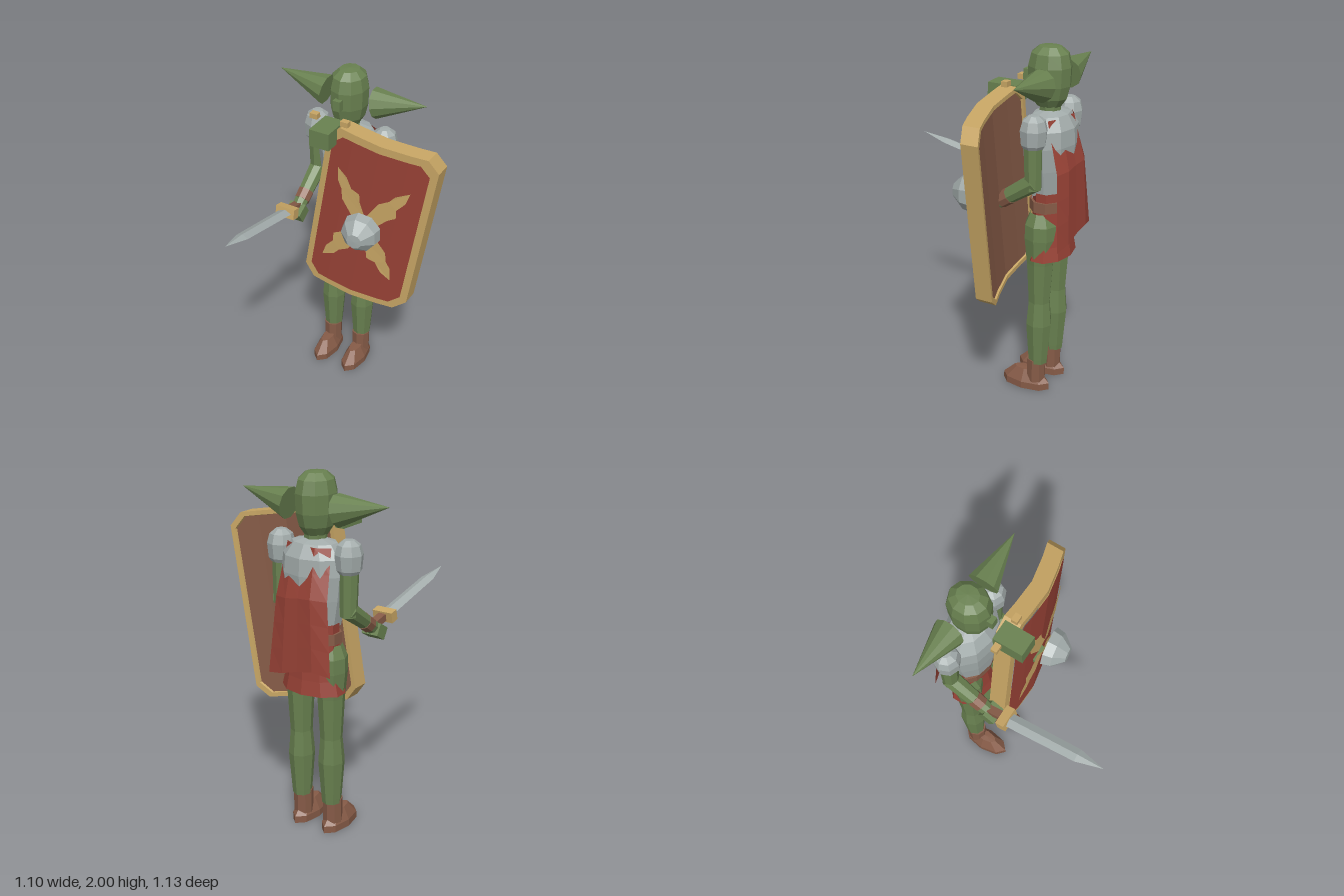
import * as THREE from 'three';

const mat = (name, color, side = THREE.FrontSide) => {
  const m = new THREE.MeshStandardMaterial({ color, side });
  m.name = name;
  return m;
};

export function createModel() {
  const green = mat('green skin', 0x698150);
  const silver = mat('silver', 0xa3acab);
  const red = mat('red cloth', 0x984236, THREE.DoubleSide);
  const gold = mat('gold', 0xc7a564, THREE.DoubleSide);
  const brown = mat('brown leather', 0x865b47);

  const root = new THREE.Group();
  root.name = 'goblinWarrior';
  const CX = -0.09; // body centre line

  // Adds a faceted mesh
  function add(name, geo, material, parent = root) {
    const g = geo.index ? geo.toNonIndexed() : geo;
    g.computeVertexNormals();
    const m = new THREE.Mesh(g, material);
    m.name = name;
    parent.add(m);
    return m;
  }
  // Turned part; profile is [radius, y] from bottom to top
  function turned(name, profile, sides, material, x, y, z, sx = 1, sz = 1, parent = root) {
    const geo = new THREE.LatheGeometry(profile.map(p => new THREE.Vector2(p[0], p[1])), sides);
    geo.scale(sx, 1, sz);
    const m = add(name, geo, material, parent);
    m.position.set(x, y, z);
    return m;
  }
  function box(name, w, h, d, material, x, y, z, parent = root) {
    const m = add(name, new THREE.BoxGeometry(w, h, d), material, parent);
    m.position.set(x, y, z);
    return m;
  }
  // Tapered tube from a to b
  function limb(name, a, b, ra, rb, material, sides = 8) {
    const A = new THREE.Vector3(...a), B = new THREE.Vector3(...b);
    const dir = B.clone().sub(A);
    const m = add(name, new THREE.CylinderGeometry(rb, ra, dir.length(), sides), material);
    m.position.copy(A).add(B).multiplyScalar(0.5);
    m.quaternion.setFromUnitVectors(new THREE.Vector3(0, 1, 0), dir.normalize());
    return m;
  }

  // Head and face
  turned('head', [[0, 1.67], [0.06, 1.675], [0.088, 1.72], [0.104, 1.79], [0.107, 1.89], [0.092, 1.96], [0.055, 1.995], [0, 2]],
    10, green, CX, 0, -0.372, 1, 1.14);
  limb('neck', [CX, 1.6, -0.38], [CX, 1.72, -0.38], 0.06, 0.06, green);
  box('nose', 0.045, 0.06, 0.05, green, CX, 1.83, -0.25);
  box('snout', 0.12, 0.1, 0.175, green, CX + 0.005, 1.72, -0.12);

  // Torso, belt and tunic
  turned('breastplate', [[0, 1.2], [0.148, 1.2], [0.178, 1.35], [0.194, 1.48], [0.185, 1.57], [0.13, 1.64], [0.05, 1.66]],
    10, silver, CX, 0, -0.39, 1, 0.73);
  turned('tunic', [[0.187, 0.83], [0.168, 0.91], [0.153, 1.03], [0.15, 1.12], [0.153, 1.22]], 10, red, CX, 0, -0.41, 1.02, 0.63);
  turned('belt', [[0.15, 1.11], [0.165, 1.11], [0.165, 1.17], [0.15, 1.17]], 10, brown, CX, 0, -0.405, 1, 0.67);

  // Paired parts
  for (const s of [-1, 1]) {
    const side = s < 0 ? 'right' : 'left';
    const at = d => CX + s * d;

    limb(side + 'Ear', [at(0.155), 1.817, -0.395], [at(0.458), 1.872, -0.4], 0.088, 0, green, 10);
    box(side + 'Eye', 0.046, 0.03, 0.036, gold, at(0.094), 1.785, -0.16);

    // Arms
    const ax = at(0.215);
    turned(side + 'Pauldron', [[0.055, 1.5], [0.068, 1.52], [0.076, 1.6], [0.062, 1.65], [0.03, 1.675], [0, 1.677]],
      8, silver, ax, 0, -0.392);
    limb(side + 'UpperArm', [ax, 1.54, -0.39], [ax, 1.27, -0.395], 0.052, 0.046, green);
    limb(side + 'Forearm', [ax, 1.31, -0.405], [ax, 1.15, -0.17], 0.052, 0.04, green);
    limb(side + 'Bracer', [ax, 1.207, -0.255], [ax, 1.172, -0.205], 0.047, 0.045, brown);
    box(side + 'Hand', 0.1, 0.07, 0.08, green, ax, 1.125, -0.148).rotation.x = 0.55;

    // Legs and boots
    const lx = at(0.1);
    turned(side + 'Leg', [[0.052, 0.17], [0.055, 0.2], [0.072, 0.42], [0.06, 0.56], [0.074, 0.8], [0.09, 0.95], [0.088, 1.03], [0.06, 1.1]],
      8, green, lx, 0, -0.39, 1, 1.05);
    turned(side + 'BootCuff', [[0.054, 0.05], [0.056, 0.19], [0.04, 0.19]], 8, brown, lx, 0, -0.38);
    turned(side + 'Boot', [[0, 0], [1, 0], [1, 0.04], [0.5, 0.11], [0, 0.112]],
      8, brown, lx, 0, -0.317, 0.065, 0.147);
  }

  // Cape: a folded sheet that bows out from the shoulders to a ragged hem
  const cape = new THREE.PlaneGeometry(4, 1, 4, 5);
  const cp = cape.attributes.position;
  const hem = [0.66, 0.64, 0.66, 0.69, 0.71], fold = [0.035, -0.012, 0, 0.002, 0.04];
  for (let i = 0; i < cp.count; i++) {
    const col = Math.round(cp.getX(i)) + 2, t = 0.5 - cp.getY(i);
    cp.setXYZ(i, CX + (col - 2) * 0.5 * (0.14 + 0.06 * t), 1.63 - t * hem[col],
      -0.475 - 0.055 * Math.min(1, t * 2.5) - 0.03 * t + fold[col] * (1 - 0.5 * t));
  }
  add('cape', cape, red);

  // Sword, built along +y then tipped forward
  const sword = new THREE.Group();
  sword.name = 'sword';
  sword.position.set(-0.305, 1.185, -0.045);
  sword.rotation.x = 1.36;
  root.add(sword);
  turned('blade', [[0.042, 0.01], [0.038, 0.46], [0, 0.622]], 4, silver, 0, 0, 0, 1, 0.42, sword);
  box('crossguard', 0.12, 0.052, 0.06, gold, 0, 0, 0, sword);
  box('grip', 0.045, 0.14, 0.04, brown, 0, -0.08, 0, sword);

  // Shield: flat on one half, curving back on the other
  const shield = new THREE.Group();
  shield.name = 'shield';
  shield.position.set(0.156, 1.204, 0);
  shield.rotation.z = -0.163;
  root.add(shield);

  const bendZ = [-0.178, -0.17, -0.17, -0.205, -0.252];
  const bend = u => {
    const f = Math.min(3.999, Math.max(0, u / 0.16 + 2)), i = Math.floor(f);
    return bendZ[i] + (bendZ[i + 1] - bendZ[i]) * (f - i);
  };
  // Columns [u, half height] of a rectangle with cut corners
  const columns = (w, h, c) =>
    [-w, -w + c, -0.16, 0, 0.16, w - c, w].map(u => [u, Math.abs(u) > w - 0.001 ? h - c : h]);
  const pt = (u, v, z) => [u, v, bend(u) + z];
  const fromQuads = quads => {
    const g = new THREE.BufferGeometry();
    const pos = quads.flatMap(([a, b, c, d]) => [...a, ...b, ...c, ...a, ...c, ...d]);
    g.setAttribute('position', new THREE.Float32BufferAttribute(pos, 3));
    return g;
  };
  function panel(name, cols, z, material, back) {
    const quads = [];
    for (let i = 0; i < cols.length - 1; i++) {
      const [u, h] = cols[i], [U, H] = cols[i + 1];
      const q = [pt(u, -h, z), pt(U, -H, z), pt(U, H, z), pt(u, h, z)];
      quads.push(back ? q.reverse() : q);
    }
    add(name, fromQuads(quads), material, shield);
  }
  const loop = cols => [...cols.map(([u, h]) => [u, -h]), ...cols.slice().reverse()];
  const outer = loop(columns(0.32, 0.534, 0.068));
  const inner = loop(columns(0.276, 0.487, 0.058));
  const innerBack = loop(columns(0.296, 0.51, 0.063));
  const section = i => [pt(...outer[i], 0.05), pt(...inner[i], 0.05), pt(...innerBack[i], -0.05), pt(...outer[i], -0.05)];
  const rim = [];
  for (let i = 0; i < outer.length; i++) {
    const P = section(i), Q = section((i + 1) % outer.length);
    for (let k = 0; k < 4; k++) rim.push([P[k], Q[k], Q[(k + 1) % 4], P[(k + 1) % 4]]);
  }
  add('shieldRim', fromQuads(rim), gold, shield);
  panel('shieldFace', columns(0.281, 0.492, 0.058), 0.056, red, false);
  panel('shieldBack', columns(0.295, 0.509, 0.063), -0.038, brown, true);

  // Four jagged rays on the shield face
  const ray = [[0.05, -0.04], [0.15, -0.048], [0.2, -0.066], [0.24, -0.03], [0.31, -0.03], [0.378, 0],
    [0.3, 0.034], [0.25, 0.034], [0.19, 0.056], [0.05, 0.035]];
  for (const a of [56, 124, 236, 304]) {
    const c = Math.cos(a * Math.PI / 180), s = Math.sin(a * Math.PI / 180);
    const geo = new THREE.ShapeGeometry(new THREE.Shape(ray.map(([r, t]) => new THREE.Vector2(r * c - t * s, r * s + t * c))));
    const p = geo.attributes.position;
    for (let i = 0; i < p.count; i++) p.setZ(i, bend(p.getX(i)) + 0.076);
    add('shieldRay', geo, gold, shield);
  }

  // Boss
  const boss = turned('shieldBoss', [[0, 0], [0.115, 0], [0.103, 0.055], [0.045, 0.118], [0, 0.12]],
    9, silver, 0.012, 0.004, -0.067, 1, 1, shield);
  boss.rotation.set(Math.PI / 2, 0, -0.11);

  return root;
}
